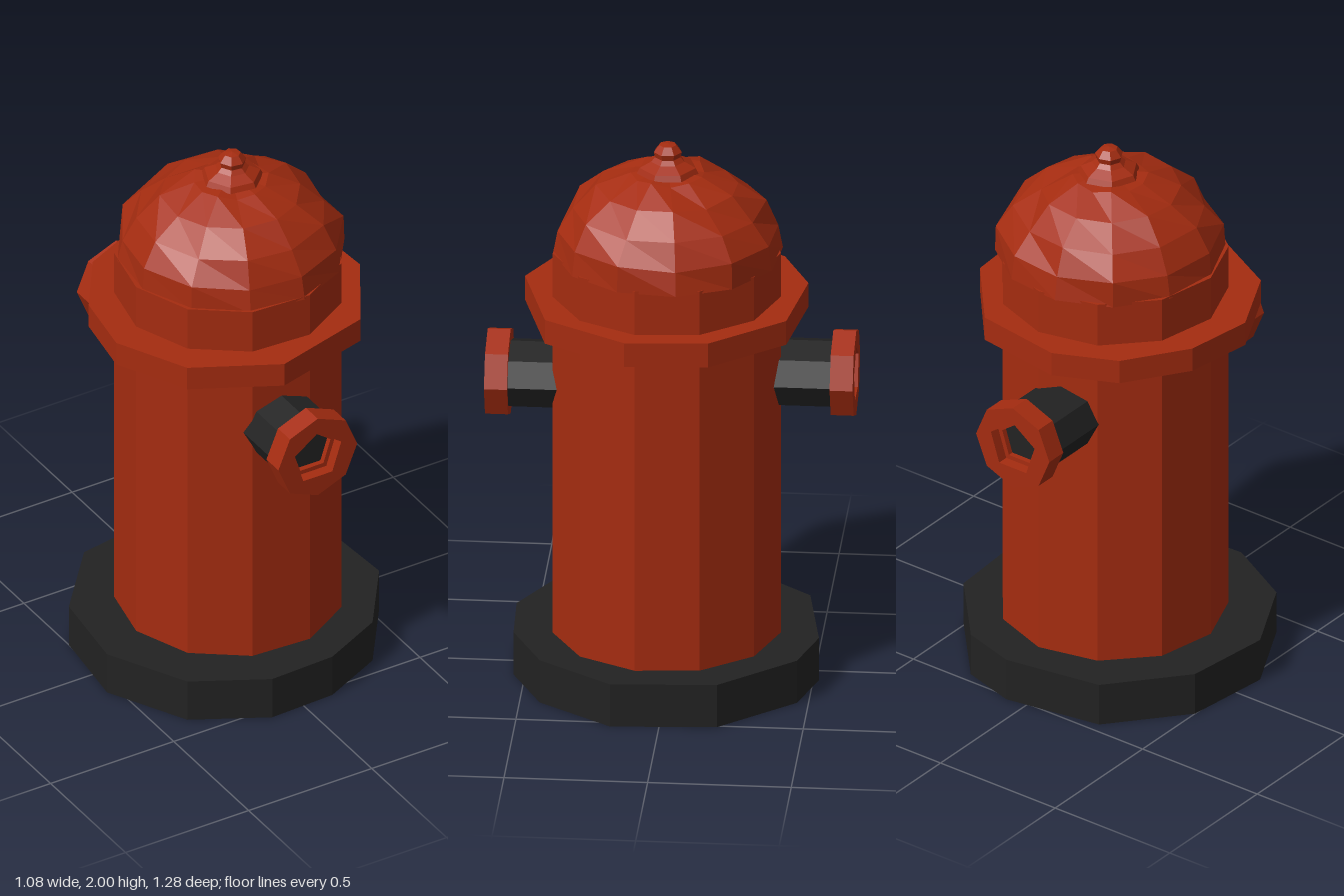
import * as THREE from 'three';

const red = new THREE.MeshStandardMaterial({ color: 0xa52c10, flatShading: true });
const dark = new THREE.MeshStandardMaterial({ color: 0x222222, flatShading: true });

// Regular polygon as 2D points around a centre
function ring(n, r, phase = 0, cx = 0, cy = 0) {
  return Array.from({ length: n }, (_, i) => {
    const a = phase + (i / n) * Math.PI * 2;
    return new THREE.Vector2(cx + r * Math.cos(a), cy + r * Math.sin(a));
  });
}

function extrude(points, depth, hole) {
  const shape = new THREE.Shape(points);
  if (hole) shape.holes.push(new THREE.Path(hole));
  return new THREE.ExtrudeGeometry(shape, { depth, bevelEnabled: false });
}

function add(parent, name, geometry, material) {
  const mesh = new THREE.Mesh(geometry, material);
  mesh.name = name;
  parent.add(mesh);
  return mesh;
}

// Upright prism from an outline of [x, z] corners
function prism(outline, y0, y1) {
  const points = outline.map(([x, z]) => new THREE.Vector2(x, -z));
  return extrude(points, y1 - y0).rotateX(-Math.PI / 2).translate(0, y0, 0);
}

// Faceted turned form, slightly irregular where wobble is given
function turned(profile, sides, phase, wobble = 0) {
  const points = profile.map(([r, y]) => new THREE.Vector2(r, y));
  const geometry = new THREE.LatheGeometry(points, sides, phase);
  const pos = geometry.attributes.position;
  const rows = profile.length;
  for (let i = 0; i < pos.count; i++) {
    const column = Math.floor(i / rows) % sides;
    const row = i % rows;
    if (row < 2 || row === rows - 1) continue;
    const s = Math.sin(column * 2.4 + row * 1.9) * wobble;
    pos.setXYZ(i, pos.getX(i) * (1 + s), pos.getY(i) + s * 0.3, pos.getZ(i) * (1 + s));
  }
  return geometry;
}

// Side outlet pointing along +z: dark pipe and a cap with a five-sided recess
function outlet(name, capDepth) {
  const group = new THREE.Group();
  group.name = name;
  const pipe = extrude(ring(8, 0.14, 0), 0.28);
  pipe.scale(1, 0.86, 1).translate(0, -0.003, 0.3);
  add(group, 'outletPipe', pipe, dark);
  const start = 0.56;
  const half = capDepth / 2;
  const cap = extrude(ring(8, 0.16, Math.PI / 2), capDepth, ring(5, 0.1, Math.PI / 2));
  add(group, 'outletCap', cap.translate(0, 0, start), red);
  const step = extrude(ring(5, 0.105, Math.PI / 2), half, ring(5, 0.08, Math.PI / 2));
  add(group, 'capStep', step.translate(0, 0, start), red);
  const floor = extrude(ring(5, 0.085, Math.PI / 2), 0.02);
  add(group, 'capFloor', floor.translate(0, 0, start), red);
  return group;
}

export function createModel() {
  const model = new THREE.Group();
  model.name = 'fireHydrant';

  // Wide foot
  const foot = [
    [-0.54, 0.12], [-0.39, 0.41], [-0.13, 0.55], [0.12, 0.54], [0.35, 0.43],
    [0.535, 0.17], [0.51, -0.2], [0.28, -0.46], [0.08, -0.52], [-0.28, -0.46], [-0.5, -0.2],
  ];
  add(model, 'foot', prism(foot, 0, 0.16), dark);

  // Barrel
  const barrel = ring(11, 0.4, 0.2, 0.02, 0.015).reverse().map((p) => [p.x, p.y]);
  add(model, 'barrel', prism(barrel, 0.15, 1.6), red);

  // Flange below the dome
  const flange = [
    [-0.49, 0.1], [-0.36, 0.36], [-0.06, 0.515], [0.31, 0.415], [0.485, 0.125],
    [0.465, -0.165], [0.25, -0.42], [-0.08, -0.47], [-0.3, -0.37], [-0.45, -0.15],
  ];
  add(model, 'flange', prism(flange, 1.345, 1.435), red);

  // Domed bonnet
  const domeProfile = [
    [0, 1.59], [0.4, 1.59], [0.39, 1.68], [0.335, 1.765],
    [0.245, 1.84], [0.13, 1.89], [0, 1.91],
  ];
  const dome = add(model, 'dome', turned(domeProfile, 12, 0.15, 0.025), red);
  dome.position.set(0.03, 0, 0.01);

  // Small stepped knob on top
  const knobProfile = [
    [0, 1.89], [0.11, 1.895], [0.1, 1.915], [0.06, 1.935],
    [0.045, 1.95], [0.05, 1.97], [0.03, 1.995], [0, 2.0],
  ];
  const knob = add(model, 'knob', turned(knobProfile, 7, 0.3), red);
  knob.position.set(0.035, 0, 0.01);

  // Front and rear outlets
  const front = outlet('frontOutlet', 0.08);
  front.position.set(0, 1.097, 0);
  const rear = outlet('rearOutlet', 0.08);
  rear.position.set(-0.04, 1.118, 0);
  rear.rotation.y = Math.PI;
  model.add(front, rear);

  return model;
}
